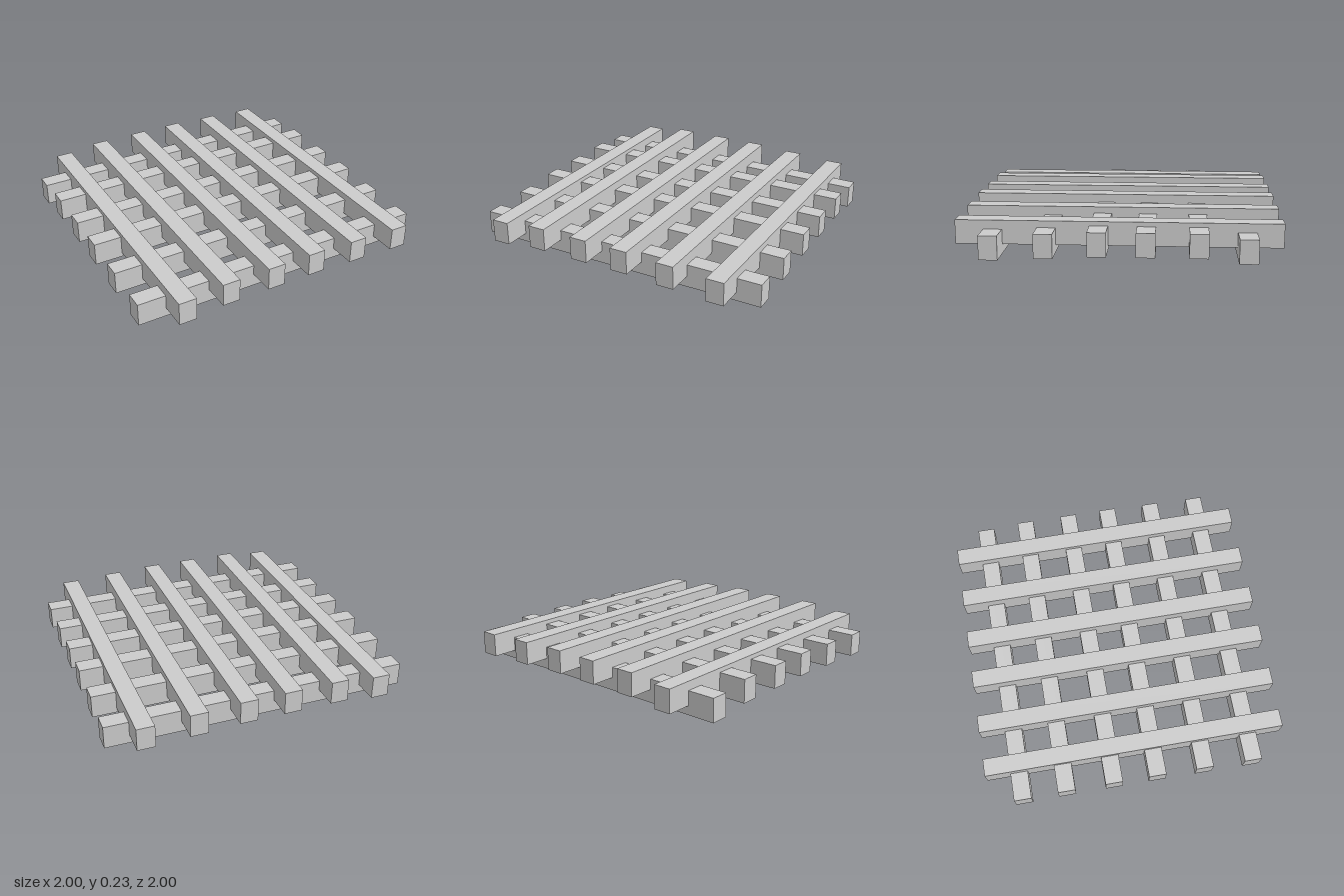
import * as THREE from 'three';

const WIDTH = 0.115, HEIGHT = 0.15, LENGTH = 2;

// [offset across the lattice, height of the beam's centre]
const UPPER = [[-0.76, 0.133], [-0.47, 0.16], [-0.154, 0.16], [0.138, 0.16], [0.456, 0.147], [0.785, 0.133]];
const LOWER = [[-0.779, 0.076], [-0.487, 0.105], [-0.171, 0.105], [0.12, 0.105], [0.439, 0.09], [0.768, 0.076]];

export function createModel() {
  const model = new THREE.Group();
  model.name = 'beamLattice';
  const material = new THREE.MeshStandardMaterial({ color: 0xcccccc, flatShading: true });

  const addBeam = (name, geometry, x, y, z) => {
    const beam = new THREE.Mesh(geometry, material);
    beam.name = name;
    beam.position.set(x, y, z);
    model.add(beam);
  };

  // Upper beams run front to back
  const upperGeometry = new THREE.BoxGeometry(WIDTH, HEIGHT, LENGTH);
  UPPER.forEach(([x, y], i) => addBeam(`upperBeam${i + 1}`, upperGeometry, x, y, 0));

  // Lower beams run side to side, notched into the upper ones
  const lowerGeometry = new THREE.BoxGeometry(LENGTH, HEIGHT, WIDTH);
  LOWER.forEach(([z, y], i) => addBeam(`lowerBeam${i + 1}`, lowerGeometry, 0, y, z));

  return model;
}
